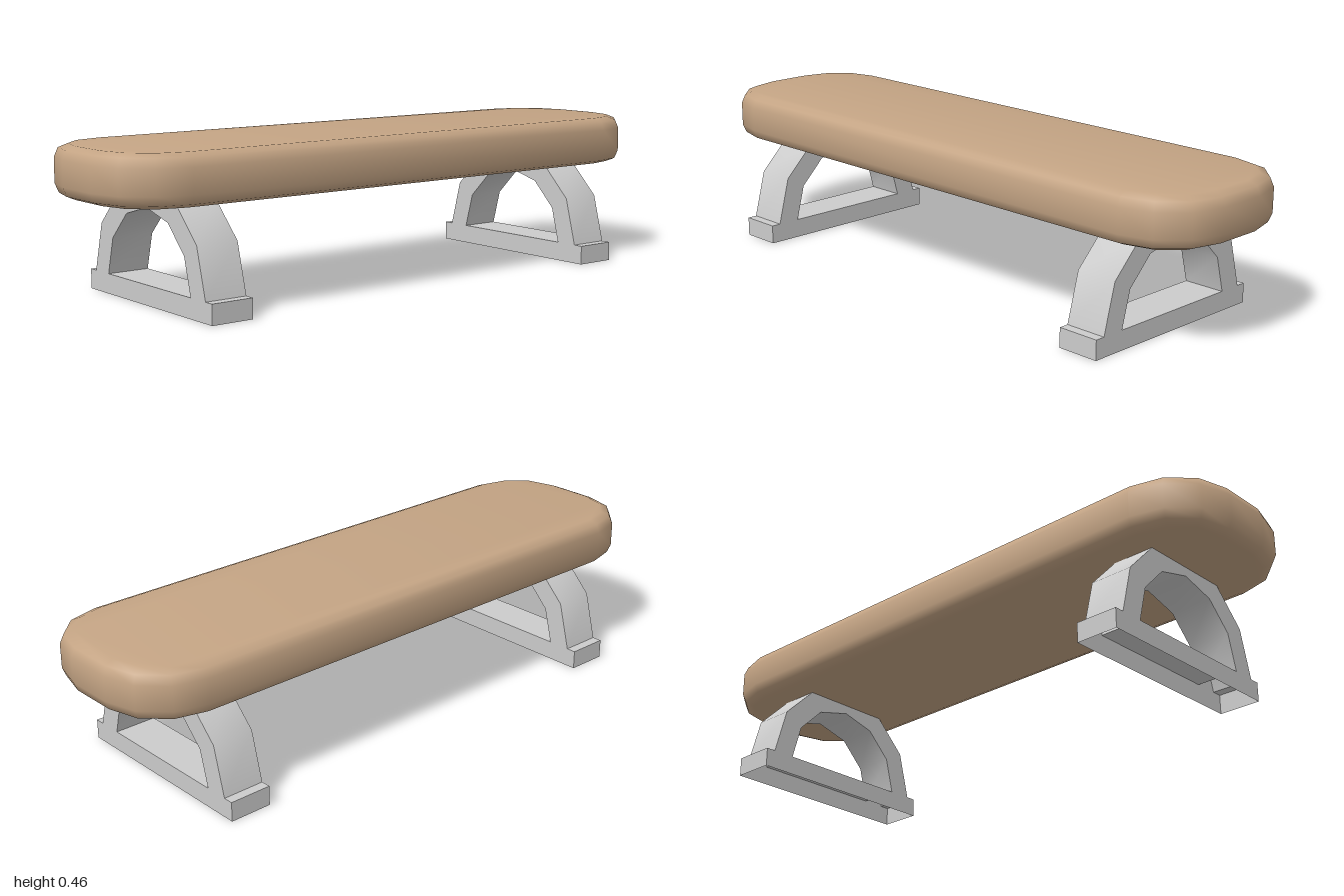
import * as THREE from 'three';
import { toCreasedNormals } from 'three/addons/utils/BufferGeometryUtils.js';

// Points along an arc, split into n straight steps
function arc(cx, cy, r, a0, a1, n) {
  return Array.from({ length: n + 1 }, (_, i) => {
    const a = a0 + ((a1 - a0) * i) / n;
    return new THREE.Vector2(cx + r * Math.cos(a), cy + r * Math.sin(a));
  });
}

// Padded seat: rounded-corner slab with a soft edge all round
function createSeat() {
  const halfL = 1, halfW = 0.277, r = 0.2, edge = 0.038, bottom = 0.312, height = 0.151;
  const outline = [];
  [[1, 1], [-1, 1], [-1, -1], [1, -1]].forEach(([sx, sy], i) => {
    const a = (i * Math.PI) / 2;
    outline.push(...arc(sx * (halfL - r), sy * (halfW - r), r, a, a + Math.PI / 2, 3));
  });
  const geo = new THREE.ExtrudeGeometry(new THREE.Shape(outline), {
    depth: height - 2 * edge, bevelThickness: edge, bevelSize: edge,
    bevelOffset: -edge, bevelSegments: 2,
  });
  geo.rotateX(-Math.PI / 2).translate(0, bottom + edge, 0);
  const seat = new THREE.Mesh(toCreasedNormals(geo, 0.9),
    new THREE.MeshStandardMaterial({ color: 0xc4a484 }));
  seat.name = 'seat';
  return seat;
}

// Arched support on a foot bar: a hollow shell, open underneath
function createSupportGeometry() {
  const width = 0.133, footY = 0.06, footZ = 0.328;
  const p = (x, y) => new THREE.Vector2(x, y);
  const shape = new THREE.Shape([
    p(-footZ, 0), p(footZ, 0), p(footZ, footY),
    ...arc(0, footY, 0.297, 0, Math.PI, 6),
    p(-footZ, footY),
  ]);
  shape.holes.push(new THREE.Path(arc(0, footY, 0.223, 0, Math.PI, 6)));
  const geo = new THREE.ExtrudeGeometry(shape, { depth: width, bevelEnabled: false });
  geo.translate(0, 0, -width / 2).rotateY(Math.PI / 2);

  // Drop the faces lying on the ground
  const src = geo.attributes.position.array, kept = [];
  for (let i = 0; i < src.length; i += 9) {
    if (Math.max(src[i + 1], src[i + 4], src[i + 7]) > 1e-4) kept.push(...src.slice(i, i + 9));
  }
  const shell = new THREE.BufferGeometry();
  shell.setAttribute('position', new THREE.Float32BufferAttribute(kept, 3));
  return toCreasedNormals(shell, 0.6);
}

export function createModel() {
  const model = new THREE.Group();
  model.name = 'bench';
  model.add(createSeat());

  const supportGeo = createSupportGeometry();
  const grey = new THREE.MeshStandardMaterial({ color: 0xcccccc, side: THREE.DoubleSide });
  for (const side of [1, -1]) {
    const support = new THREE.Mesh(supportGeo, grey);
    support.name = side > 0 ? 'leftSupport' : 'rightSupport';
    support.position.x = side * 0.715;
    model.add(support);
  }
  return model;
}
